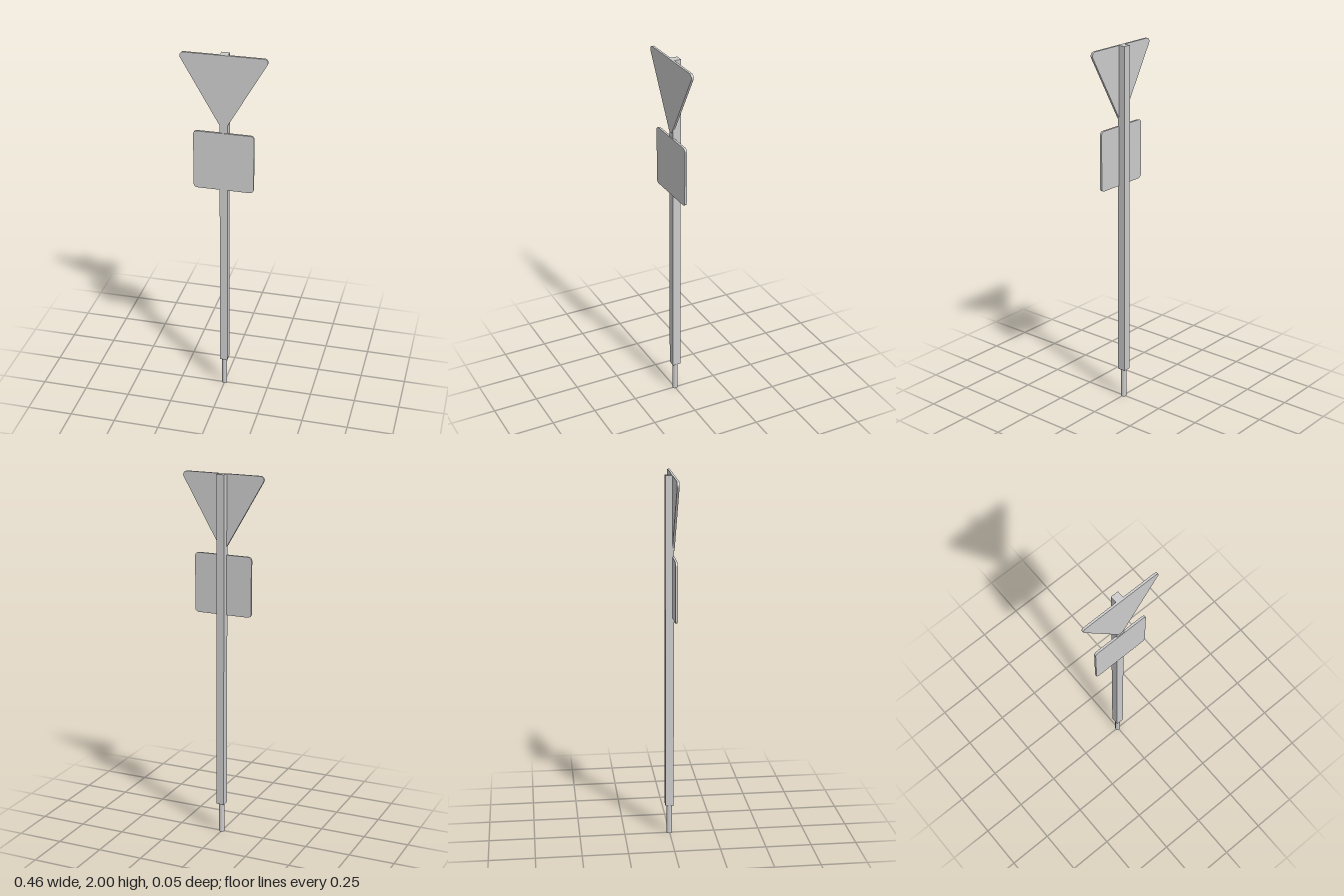
import * as THREE from 'three';

const POLE_Z = -0.002;

// Plate outline: straight edges joined by arcs around the given corner centres (counter-clockwise)
function roundedOutline(centres, radius) {
  const shape = new THREE.Shape();
  const n = centres.length;
  const normal = (a, b) => Math.atan2(b[1] - a[1], b[0] - a[0]) - Math.PI / 2;
  centres.forEach((c, i) => {
    const start = normal(centres[(i + n - 1) % n], c);
    const end = normal(c, centres[(i + 1) % n]);
    shape.absarc(c[0], c[1], radius, start, end, false);
  });
  shape.closePath();
  return shape;
}

export function createModel() {
  const group = new THREE.Group();
  const metal = new THREE.MeshStandardMaterial({ color: 0xcccccc });
  metal.name = 'light grey metal';

  function add(name, geometry, x, y, z) {
    const mesh = new THREE.Mesh(geometry, metal);
    mesh.name = name;
    mesh.position.set(x, y, z);
    group.add(mesh);
  }

  function addPlate(name, centres, radius) {
    const geometry = new THREE.ExtrudeGeometry(roundedOutline(centres, radius), {
      depth: 0.012, bevelEnabled: false, curveSegments: 8,
    });
    add(name, geometry, 0, 0, 0.0125);
  }

  // Square post and the faceted peg at its foot
  add('post', new THREE.BoxGeometry(0.043, 1.832, 0.045), 0, 1.084, POLE_Z);
  const peg = new THREE.CylinderGeometry(0.015, 0.015, 0.18, 12).toNonIndexed();
  peg.computeVertexNormals();
  add('groundPeg', peg, 0, 0.09, POLE_Z);

  // Downward pointing triangular sign
  addPlate('triangleSign', [[0, 1.621], [0.208, 1.98], [-0.208, 1.98]], 0.02);

  // Rounded rectangular sign below it
  const x = 0.142, low = 1.267, high = 1.553;
  addPlate('rectangleSign', [[-x, low], [x, low], [x, high], [-x, high]], 0.02);

  return group;
}
